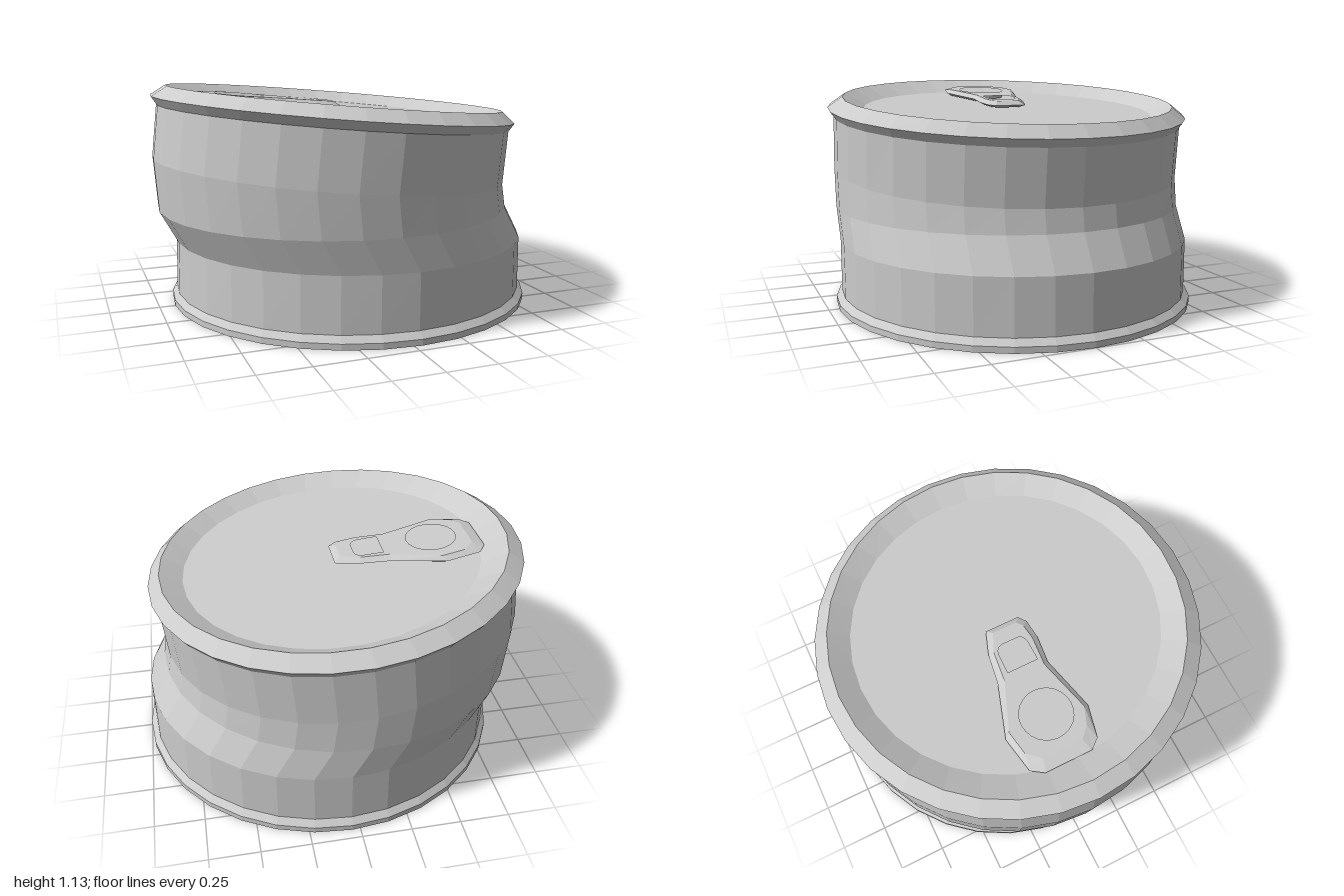
import * as THREE from 'three';

const SEGMENTS = 32;
const material = new THREE.MeshStandardMaterial({ color: 0xcccccc, flatShading: true });

// Height of the slanted rim plane at x
const lidY = (x) => 1.057 - 0.0847 * x;

// Tilted ellipse given by its left end, right end and half depth
function ring(xl, yl, xr, yr, rz) {
  return Array.from({ length: SEGMENTS }, (_, i) => {
    const a = (i / SEGMENTS) * Math.PI * 2;
    const t = (1 + Math.cos(a)) / 2;
    return [xl + (xr - xl) * t, yl + (yr - yl) * t, rz * Math.sin(a)];
  });
}

// Skin over rings listed from bottom/outside to top/inside, with optional caps
function loft(name, rings, capBottom = false, capTop = false) {
  const n = rings[0].length;
  const points = rings.flat();
  const index = [];
  for (let r = 0; r < rings.length - 1; r++) {
    for (let j = 0; j < n; j++) {
      const a = r * n + j, b = r * n + (j + 1) % n;
      index.push(a, a + n, b, b, a + n, b + n);
    }
  }
  const cap = (r, up) => {
    const c = points.length;
    points.push([0, 1, 2].map((k) => rings[r].reduce((s, p) => s + p[k], 0) / n));
    for (let j = 0; j < n; j++) {
      const a = r * n + j, b = r * n + (j + 1) % n;
      index.push(c, up ? b : a, up ? a : b);
    }
  };
  if (capBottom) cap(0, false);
  if (capTop) cap(rings.length - 1, true);
  const geometry = new THREE.BufferGeometry();
  geometry.setAttribute('position', new THREE.Float32BufferAttribute(points.flat(), 3));
  geometry.setIndex(index);
  geometry.computeVertexNormals();
  const mesh = new THREE.Mesh(geometry, material);
  mesh.name = name;
  return mesh;
}

// Pull tab: sloped skirt around a plate with a finger hole and a rivet hole
function createTab() {
  const outer = [[-0.03, 0.07], [-0.07, 0.1], [-0.17, 0.108], [-0.31, 0.092], [-0.59, 0.158], [-0.75, 0.12], [-0.79, 0.07],
    [-0.79, -0.17], [-0.75, -0.23], [-0.57, -0.262], [-0.3, -0.172], [-0.15, -0.148], [-0.03, -0.105]];
  const inner = [[-0.06, 0.045], [-0.09, 0.07], [-0.17, 0.08], [-0.32, 0.067], [-0.59, 0.135], [-0.68, 0.1], [-0.73, 0.05],
    [-0.73, -0.15], [-0.67, -0.215], [-0.55, -0.235], [-0.31, -0.14], [-0.16, -0.122], [-0.06, -0.08]];
  const level = (outline, drop) => outline.map(([x, z]) => [x, lidY(x) - drop, z]);

  const plate = new THREE.Shape(inner.map(([x, z]) => new THREE.Vector2(x, -z)));
  plate.holes.push(new THREE.Path().absarc(-0.545, 0.04, 0.128, 0, Math.PI * 2, true));
  const slot = new THREE.Path();
  slot.moveTo(-0.28, -0.05);
  slot.lineTo(-0.28, 0.108);
  slot.lineTo(-0.18, 0.105);
  slot.quadraticCurveTo(-0.135, 0.1, -0.135, 0.06);
  slot.lineTo(-0.135, -0.01);
  slot.quadraticCurveTo(-0.135, -0.045, -0.18, -0.05);
  plate.holes.push(slot);
  const geometry = new THREE.ExtrudeGeometry(plate, { depth: 0.035, bevelEnabled: false, curveSegments: 12 });
  geometry.rotateX(-Math.PI / 2);
  // Slant the plate to follow the lid
  const p = geometry.attributes.position;
  for (let i = 0; i < p.count; i++) p.setY(i, p.getY(i) + lidY(p.getX(i)) - 0.055);
  geometry.computeVertexNormals();
  const top = new THREE.Mesh(geometry, material);
  top.name = 'tabPlate';

  const tab = new THREE.Group();
  tab.name = 'pullTab';
  tab.add(loft('tabEdge', [level(inner, 0.055), level(outer, 0.04), level(inner, 0.02)]), top);
  return tab;
}

export function createModel() {
  const group = new THREE.Group();
  group.name = 'crushedCan';

  const foot = ring(-0.895, 0.06, 0.97, 0.06, 0.92);
  const shoulder = ring(-0.97, 1.04, 0.88, 0.885, 0.92);
  const rimTop = ring(-0.92, lidY(-0.92), 0.85, lidY(0.85), 0.875);
  const panel = ring(-0.79, lidY(-0.79) - 0.06, 0.735, lidY(0.735) - 0.06, 0.77);

  // Flared base with closed underside
  group.add(loft('baseRim', [
    ring(-0.92, 0, 1, 0, 0.95),
    ring(-0.92, 0.03, 1, 0.03, 0.95),
    foot,
  ], true));

  // Dented wall, upper half pushed sideways and tilted
  group.add(loft('canWall', [
    foot,
    ring(-0.89, 0.335, 0.967, 0.335, 0.92),
    ring(-0.98, 0.5, 0.875, 0.5, 0.92),
    ring(-1, 0.77, 0.855, 0.61, 0.92),
    shoulder,
  ]));

  // Top rim and recessed lid
  group.add(loft('topRim', [shoulder, ring(-1, 1.085, 0.91, 0.925, 0.95), rimTop]));
  group.add(loft('lid', [rimTop, panel], false, true));
  group.add(createTab());
  return group;
}
